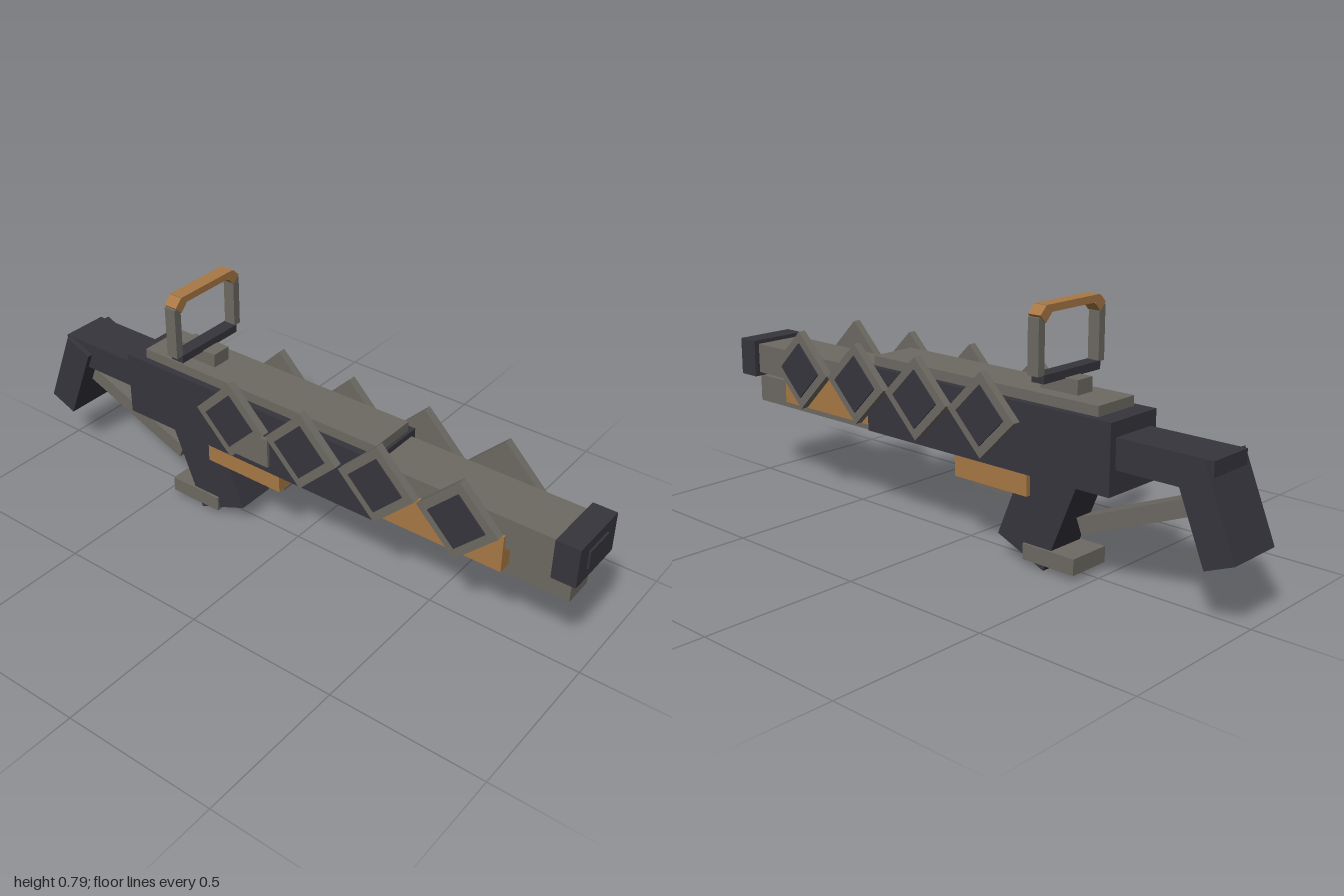
import * as THREE from 'three';

export function createModel() {
  const model = new THREE.Group();
  const mat = (name, color) => {
    const m = new THREE.MeshStandardMaterial({ color });
    m.name = name;
    return m;
  };
  const dark = mat('dark metal', 0x36353d);
  const grey = mat('grey metal', 0x6d6a63);
  const bronze = mat('bronze', 0xa87844);

  // Box given by its ranges on each axis
  const block = (name, material, [x0, x1], [y0, y1], [z0, z1]) => {
    const mesh = new THREE.Mesh(new THREE.BoxGeometry(x1 - x0, y1 - y0, z1 - z0), material);
    mesh.position.set((x0 + x1) / 2, (y0 + y1) / 2, (z0 + z1) / 2);
    mesh.name = name;
    model.add(mesh);
    return mesh;
  };
  // Box given by size and centre, tilted about one axis
  const tilted = (name, material, size, centre, axis, angle) => {
    const mesh = new THREE.Mesh(new THREE.BoxGeometry(...size), material);
    mesh.position.set(...centre);
    mesh.rotation[axis] = angle;
    mesh.name = name;
    model.add(mesh);
    return mesh;
  };
  const sym = (w) => [-w, w];

  // Body and barrels
  block('receiver', dark, sym(0.103), [0.295, 0.505], [-0.605, 0.35]);
  block('topPlate', grey, sym(0.08), [0.5, 0.536], [-0.545, 0.34]);
  block('upperBarrel', grey, sym(0.085), [0.388, 0.487], [0.34, 0.93]);
  block('lowerBarrel', grey, sym(0.05), [0.275, 0.366], [0.345, 0.96]);
  block('handguard', bronze, sym(0.094), [0.31, 0.43], [0.345, 0.77]);
  block('muzzle', dark, sym(0.103), [0.375, 0.5], [0.92, 0.994]);
  block('muzzleOpening', dark, sym(0.052), [0.409, 0.468], [0.992, 1]);
  block('sidePort', grey, [-0.113, -0.1], [0.32, 0.42], [-0.18, -0.03]);

  // Diamond fins along both sides
  const edge = 0.13 * Math.SQRT2;
  const inner = 0.0915 * Math.SQRT2;
  for (const side of [-1, 1]) {
    for (const z of [0.643, 0.376, 0.108, -0.159]) {
      tilted('finFrame', grey, [0.026, edge, edge], [side * 0.12, 0.447, z], 'x', Math.PI / 4);
      tilted('finPanel', dark, [0.008, inner, inner], [side * 0.134, 0.447, z], 'x', Math.PI / 4);
    }
  }

  // Grip, trigger and lower housing
  block('lowerHousing', bronze, sym(0.082), [0.22, 0.297], [-0.295, -0.01]);
  block('trigger', grey, sym(0.024), [0.18, 0.222], [-0.22, -0.038]);
  tilted('grip', dark, [0.132, 0.35, 0.19], [0, 0.2, -0.327], 'x', -0.39);
  block('gripBase', grey, sym(0.073), [0.021, 0.071], [-0.465, -0.275]);

  // Stock
  block('stockTube', dark, sym(0.078), [0.368, 0.46], [-0.913, -0.6]);
  tilted('stockButt', dark, [0.19, 0.276, 0.1], [0, 0.313, -0.901], 'x', 0.39);
  tilted('stockStrut', grey, [0.08, 0.05, 0.455], [0, 0.244, -0.667], 'x', 0.38);

  // Sight frame
  const depth = [-0.39, -0.345];
  block('sightBase', grey, sym(0.033), [0.53, 0.58], [-0.435, -0.3]);
  block('sightCrossbar', dark, sym(0.125), [0.577, 0.602], depth);
  block('sightTop', bronze, sym(0.116), [0.774, 0.796], depth);
  for (const side of [-1, 1]) {
    block('sightPost', grey, side < 0 ? [-0.146, -0.12] : [0.12, 0.146], [0.6, 0.763], [-0.387, -0.348]);
    tilted('sightCorner', bronze, [0.035, 0.033, 0.045], [side * 0.119, 0.771, -0.3675], 'z', -side * Math.PI / 4);
  }

  return model;
}
